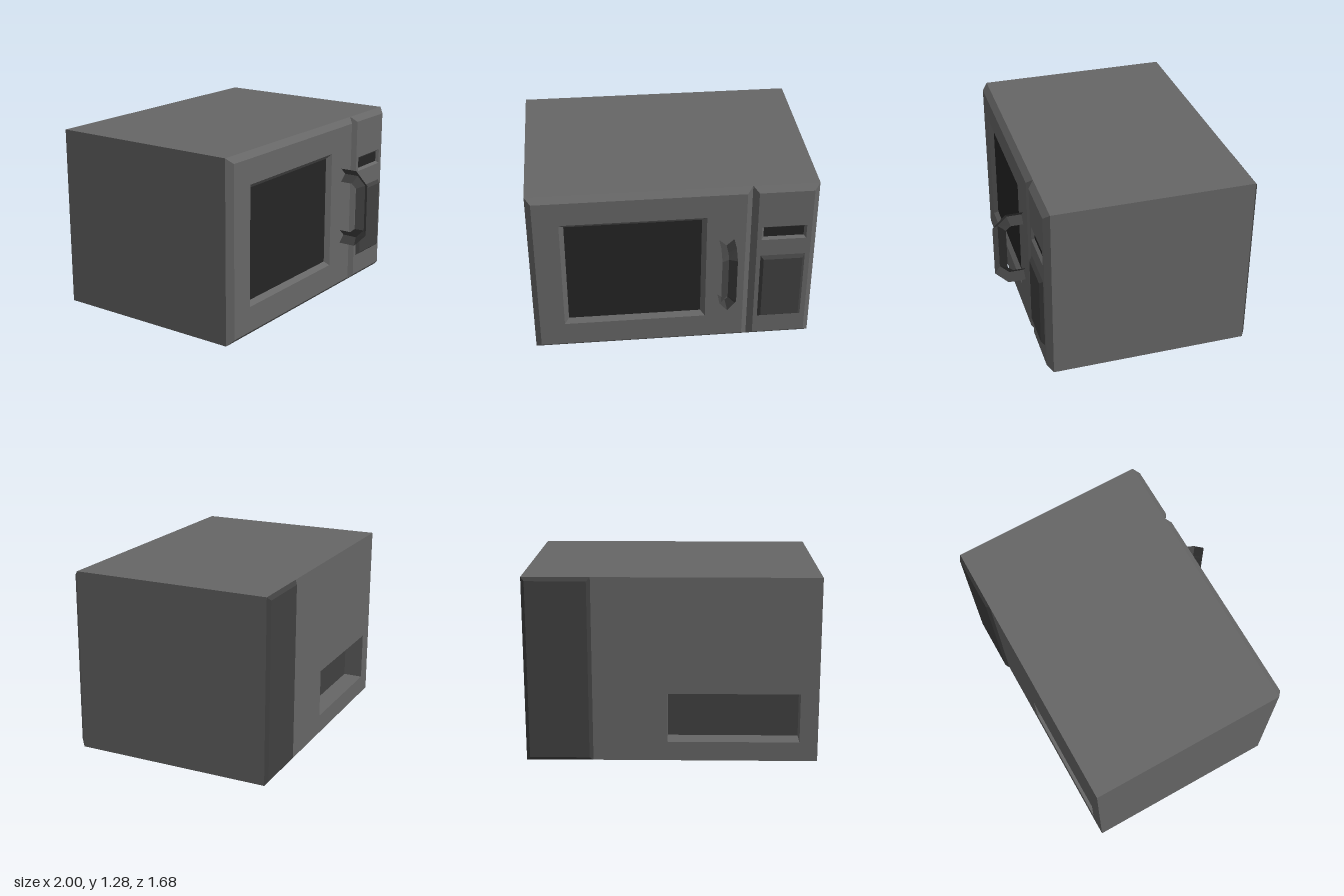
import * as THREE from 'three';

const H = 1.285;      // overall height
const BACK = -0.82;   // rear wall of the casing
const SEAM = 0.58;    // where the door and control panel meet the casing
const FACE = 0.62;    // front surface of the door and control panel

const material = (color) => new THREE.MeshStandardMaterial({ color, flatShading: true });
const casingGrey = material(0x666666);
const trimGrey = material(0x404040);
const glassBlack = material(0x242424);

// Joins closed rings of points (anticlockwise seen from +z) with quads; caps are optional
function loft(name, mat, rings, { capStart = false, capEnd = false } = {}) {
  const pos = [];
  const quad = (a, b, c, d) => [a, b, c, a, c, d].forEach((p) => pos.push(...p));
  for (let i = 0; i + 1 < rings.length; i++) {
    const r = rings[i], s = rings[i + 1];
    r.forEach((p, k) => {
      const n = (k + 1) % r.length;
      quad(p, r[n], s[n], s[k]);
    });
  }
  if (capStart) quad(...[...rings[0]].reverse());
  if (capEnd) quad(...rings[rings.length - 1]);
  const geometry = new THREE.BufferGeometry();
  geometry.setAttribute('position', new THREE.Float32BufferAttribute(pos, 3));
  geometry.computeVertexNormals();
  const mesh = new THREE.Mesh(geometry, mat);
  mesh.name = name;
  return mesh;
}

// Rectangle [x0, x1, y0, y1] at depth z, shrunk by an inset
const rect = ([x0, x1, y0, y1], z, inset = 0) => [
  [x0 + inset, y0 + inset, z], [x1 - inset, y0 + inset, z],
  [x1 - inset, y1 - inset, z], [x0 + inset, y1 - inset, z],
];

// Bevelled front panel with a recessed opening
const frontPanel = (name, area, opening, inset, depth) => loft(name, casingGrey, [
  rect(area, SEAM), rect(area, FACE, 0.04),
  rect(opening, FACE), rect(opening, FACE - depth, inset),
]);

// Flat rectangle filling the bottom of a recess
function pane(name, mat, [x0, x1, y0, y1], z, inset, facesBack = false) {
  const mesh = new THREE.Mesh(new THREE.PlaneGeometry(x1 - x0 - 2 * inset, y1 - y0 - 2 * inset), mat);
  mesh.position.set((x0 + x1) / 2, (y0 + y1) / 2, z);
  if (facesBack) mesh.rotation.y = Math.PI;
  mesh.name = name;
  return mesh;
}

// Angular handle with a diamond section, bent through mitred corners
function handle() {
  const x = 0.367, halfWidth = 0.053, middle = 0.645;
  // Upper half as [outer z, outer height, inner z, inner height], heights from the middle
  const half = [
    [0.6, 0.287, 0.6, 0.187],
    [0.745, 0.287, 0.71, 0.187],
    [0.84, 0.19, 0.746, 0.155],
  ];
  const lower = [...half].reverse().map(([oz, oy, iz, iy]) => [oz, -oy, iz, -iy]);
  const rings = [...half, ...lower].map(([oz, oy, iz, iy]) => {
    const my = middle + (oy + iy) / 2, mz = (oz + iz) / 2;
    return [
      [x, middle + oy, oz], [x - halfWidth, my, mz],
      [x, middle + iy, iz], [x + halfWidth, my, mz],
    ];
  });
  return loft('handle', trimGrey, rings.reverse().map((r) => [r[0], r[1], r[2], r[3]].reverse()).reverse(),
    { capStart: true, capEnd: true });
}

export function createModel() {
  const model = new THREE.Group();
  model.name = 'microwave';

  // Casing with a straight-walled vent recess in its back
  const shell = [-1, 1, 0, H], vent = [-0.875, 0.03, 0.135, 0.48], ventFloor = BACK + 0.14;
  model.add(
    loft('casing', casingGrey, [rect(vent, ventFloor), rect(vent, BACK), rect(shell, BACK), rect(shell, SEAM)],
      { capEnd: true }),
    pane('rearVent', trimGrey, vent, ventFloor, 0, true),
  );

  // Raised panel on the back, behind the controls
  const rear = [0.54, 1, 0, H];
  model.add(loft('rearPanel', trimGrey, [rect(rear, BACK - 0.02, 0.025), rect(rear, BACK)], { capStart: true }));

  // Door with its window
  const windowArea = [-0.783, 0.227, 0.22, 1.07];
  model.add(
    frontPanel('door', [-1, 0.54, 0, H], windowArea, 0.032, 0.03),
    pane('doorWindow', glassBlack, windowArea, FACE - 0.03, 0.032),
    handle(),
  );

  // Control panel with its display and raised keypad
  const display = [0.61, 0.925, 0.86, 0.968], keypad = [0.61, 0.925, 0.19, 0.727];
  model.add(
    frontPanel('controlPanel', [0.54, 1, 0, H], display, 0.016, 0.02),
    pane('display', glassBlack, display, FACE - 0.02, 0.016),
    loft('keypad', trimGrey, [rect(keypad, FACE), rect(keypad, FACE + 0.024, 0.02)], { capEnd: true }),
  );

  return model;
}
